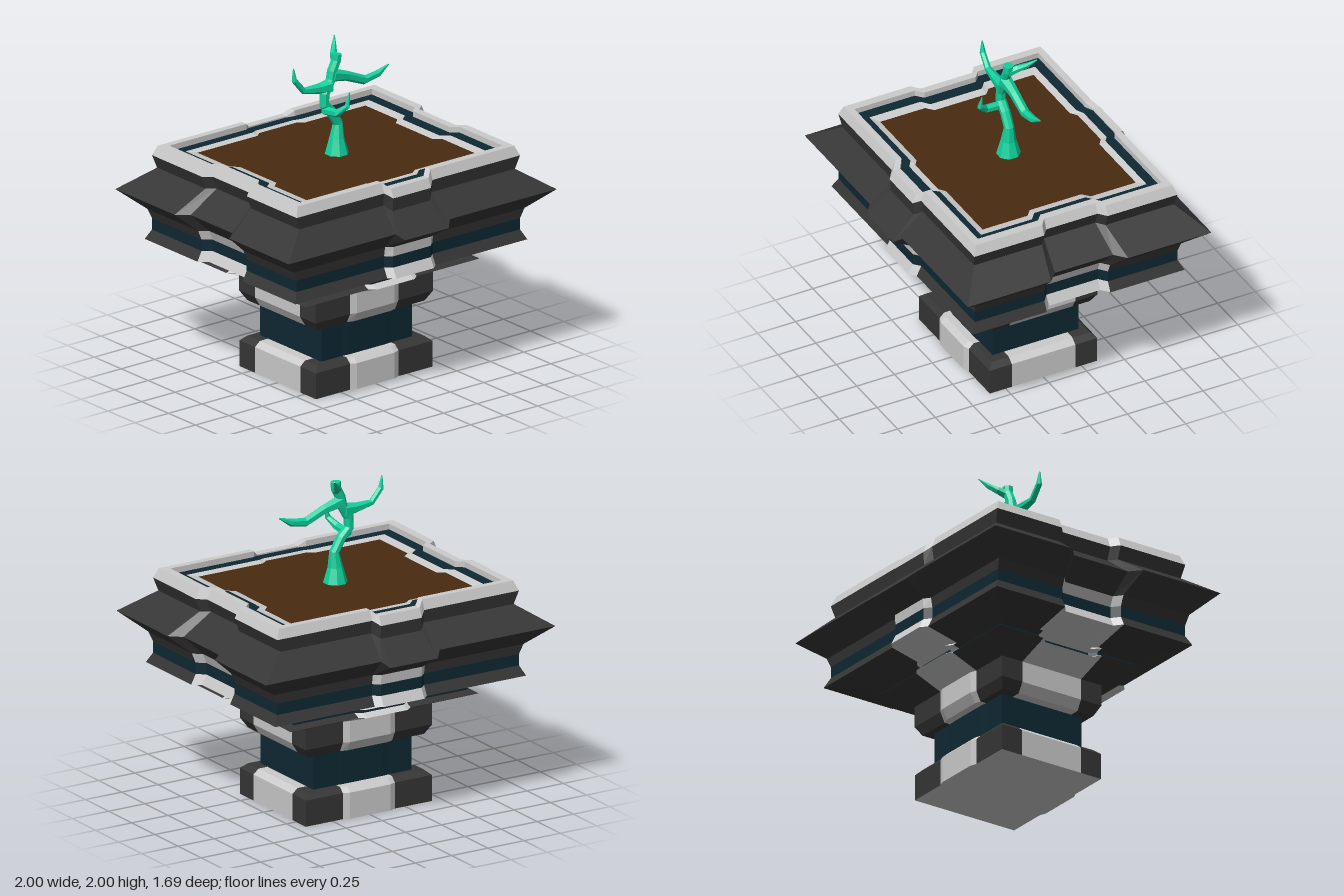
import * as THREE from 'three';

const mat = (color) => new THREE.MeshStandardMaterial({ color, flatShading: true });
const DARK = mat(0x363636), LIGHT = mat(0xcccccc), NAVY = mat(0x0e2833), SOIL = mat(0x482b10), GREEN = mat(0x10d09c);

// Triangles between two closed rings, for the segments that pass the filter
function bridge(lower, upper, keep = () => true) {
  const out = [], n = lower.length;
  const tri = (a, b, c) => {
    const area = b.clone().sub(a).cross(c.clone().sub(a)).length();
    if (area > 1e-8) for (const p of [a, b, c]) out.push(p.x, p.y, p.z);
  };
  for (let i = 0; i < n; i++) {
    if (!keep(i)) continue;
    const j = (i + 1) % n;
    tri(lower[i], lower[j], upper[j]);
    tri(lower[i], upper[j], upper[i]);
  }
  return out;
}

function meshOf(positions, material, name) {
  const g = new THREE.BufferGeometry();
  g.setAttribute('position', new THREE.Float32BufferAttribute(positions, 3));
  g.computeVertexNormals();
  const m = new THREE.Mesh(g, material);
  m.name = name;
  return m;
}

// Rectangular ring with a chamfered step in the middle of each side
function ring({ y, hx, hz, fb, sb, dip = 0, wide = 0 }) {
  const k = hx ? 1 : 0;
  const fo = (0.18 + wide * 0.5) * k, fi = (0.14 + wide * 0.5) * k;
  const so = (0.21 + wide) * k, si = (0.17 + wide * 0.5) * k;
  const half = [
    [-hx, hz, 0], [-fo, hz, 0], [-fi, hz + fb, dip], [fi, hz + fb, dip], [fo, hz, 0],
    [hx, hz, 0], [hx, so, 0], [hx + sb, si, 0], [hx + sb, -si, 0], [hx, -so, 0],
  ];
  const other = half.map(([x, z, d]) => [-x, -z, d]);
  return [...half, ...other].map(([x, z, d]) => new THREE.Vector3(x, y - d, z));
}

// Rows: y, half width, half depth, front step, side step, name, body, strip, dip, wide
const ROWS = [
  [0, 0, 0, 0, 0, 'underside', LIGHT, LIGHT],
  [0, 0.435, 0.355, 0.015, 0, 'foot', DARK, LIGHT],
  [0.16, 0.435, 0.355, 0.015, 0, 'footChamfer', DARK, LIGHT],
  [0.19, 0.40, 0.325, 0.012, 0, 'footTop', DARK, LIGHT],
  [0.19, 0.338, 0.285, 0.005, 0, 'neck', NAVY, NAVY],
  [0.41, 0.338, 0.285, 0.005, 0, 'collarUnderside', DARK, LIGHT],
  [0.41, 0.40, 0.325, 0.012, 0, 'collarChamfer', DARK, LIGHT],
  [0.47, 0.437, 0.355, 0.015, 0, 'collar', DARK, LIGHT],
  [0.60, 0.437, 0.355, 0.015, 0, 'lowerCorbel', DARK, LIGHT],
  [0.67, 0.65, 0.525, 0.03, -0.04, 'lowerCorbelTop', DARK, LIGHT],
  [0.69, 0.60, 0.48, 0.03, -0.04, 'thinInlay', NAVY, NAVY],
  [0.71, 0.60, 0.48, 0.03, -0.04, 'ledgeUnderside', DARK, LIGHT],
  [0.72, 0.645, 0.52, 0.03, -0.04, 'ledge', DARK, LIGHT],
  [0.74, 0.61, 0.49, 0.03, -0.04, 'upperCorbel', DARK, LIGHT],
  [0.79, 0.865, 0.70, 0.035, -0.05, 'upperCorbelTop', DARK, LIGHT],
  [0.85, 0.835, 0.67, 0.035, -0.05, 'inlayBand', NAVY, NAVY],
  [0.92, 0.835, 0.67, 0.035, -0.05, 'bandTop', DARK, LIGHT],
  [0.98, 0.86, 0.68, 0.03, -0.05, 'flareUnderside', DARK, DARK],
  [1.10, 1.0, 0.805, 0.04, -0.07, 'flareTop', DARK, DARK, 0.035, 0.045],
  [1.23, 0.805, 0.66, 0.04, -0.05, 'rimBand', DARK, DARK, 0.03],
  [1.31, 0.833, 0.672, 0.035, -0.05, 'rimChamfer', LIGHT, LIGHT, 0.03],
  [1.37, 0.808, 0.65, 0.035, -0.05, 'rimTop', LIGHT, LIGHT, 0.035],
  [1.37, 0.755, 0.607, 0.03, -0.045, 'rimInside', LIGHT, LIGHT, 0.035],
  [1.335, 0.755, 0.607, 0.03, -0.045, 'innerInlay', NAVY, NAVY, 0.008],
  [1.335, 0.684, 0.547, 0.03, -0.05, 'innerLip', LIGHT, LIGHT, 0.008],
  [1.325, 0.627, 0.507, 0.03, -0.045, 'soil', SOIL, SOIL],
  [1.325, 0, 0, 0, 0],
].map(([y, hx, hz, fb, sb, name, body, strip, dip, wide]) => ({ y, hx, hz, fb, sb, name, body, strip, dip, wide }));

function createPlanter() {
  const planter = new THREE.Group();
  planter.name = 'planter';
  const inStrip = (i) => [1, 2, 3, 6, 7, 8].includes(i % 10);
  for (let r = 0; r < ROWS.length - 1; r++) {
    const { name, body, strip } = ROWS[r];
    const lower = ring(ROWS[r]), upper = ring(ROWS[r + 1]);
    if (body === strip) {
      planter.add(meshOf(bridge(lower, upper), body, name));
    } else {
      planter.add(meshOf(bridge(lower, upper, (i) => !inStrip(i)), body, name));
      planter.add(meshOf(bridge(lower, upper, inStrip), strip, name + 'Strip'));
    }
  }
  return planter;
}

// Faceted limb through points [x, y, z, radius], closed at both ends
function limb(name, points, sides, refAxis) {
  const ps = points.map(([x, y, z]) => new THREE.Vector3(x, y, z));
  const rings = ps.map((p, i) => {
    const t = ps[Math.min(i + 1, ps.length - 1)].clone().sub(ps[Math.max(i - 1, 0)]).normalize();
    const u = refAxis.clone().addScaledVector(t, -refAxis.dot(t)).normalize();
    const v = t.clone().cross(u);
    return Array.from({ length: sides }, (_, k) => {
      const a = ((k + 0.5) / sides) * Math.PI * 2, rad = points[i][3];
      return p.clone().addScaledVector(u, Math.cos(a) * rad).addScaledVector(v, Math.sin(a) * rad);
    });
  });
  const all = [rings[0].map(() => ps[0]), ...rings, rings[0].map(() => ps[ps.length - 1])];
  const pos = [];
  for (let i = 0; i < all.length - 1; i++) pos.push(...bridge(all[i], all[i + 1]));
  return meshOf(pos, GREEN, name);
}

function createTree() {
  const tree = new THREE.Group();
  tree.name = 'tree';
  const X = new THREE.Vector3(1, 0, 0), Z = new THREE.Vector3(0, 0, 1);
  tree.add(
    limb('trunk', [
      [0.005, 1.32, 0, 0.074], [0.005, 1.42, 0, 0.046], [0.012, 1.51, 0, 0.031], [-0.035, 1.59, 0, 0.031],
      [-0.088, 1.645, 0, 0.031], [-0.085, 1.71, 0, 0.031], [-0.04, 1.79, 0, 0.031], [-0.03, 1.84, 0, 0.031],
      [0, 1.9, 0, 0.031], [0.003, 1.94, 0, 0.031],
    ], 8, Z),
    limb('rightBranch', [
      [-0.05, 1.755, 0, 0.045], [-0.13, 1.755, 0, 0.033], [-0.245, 1.768, 0, 0.02],
      [-0.31, 1.845, 0, 0.018], [-0.317, 1.92, 0, 0.004],
    ], 6, Z),
    limb('leftBranch', [
      [-0.03, 1.815, 0, 0.04], [0.08, 1.785, 0, 0.03], [0.21, 1.73, 0, 0.028],
      [0.31, 1.745, 0, 0.023], [0.392, 1.785, 0, 0.004],
    ], 6, Z),
    limb('topBranch', [
      [0, 1.89, 0, 0.03], [0.025, 1.915, -0.055, 0.022], [0.06, 1.945, -0.095, 0.016], [0.1, 1.993, -0.14, 0.003],
    ], 6, X),
    limb('frontBranch', [
      [-0.085, 1.61, 0, 0.028], [-0.078, 1.62, 0.11, 0.025], [-0.045, 1.67, 0.16, 0.017], [-0.026, 1.75, 0.157, 0.003],
    ], 6, X),
  );
  return tree;
}

export function createModel() {
  const model = new THREE.Group();
  model.name = 'plantedPedestal';
  model.add(createPlanter(), createTree());
  return model;
}
